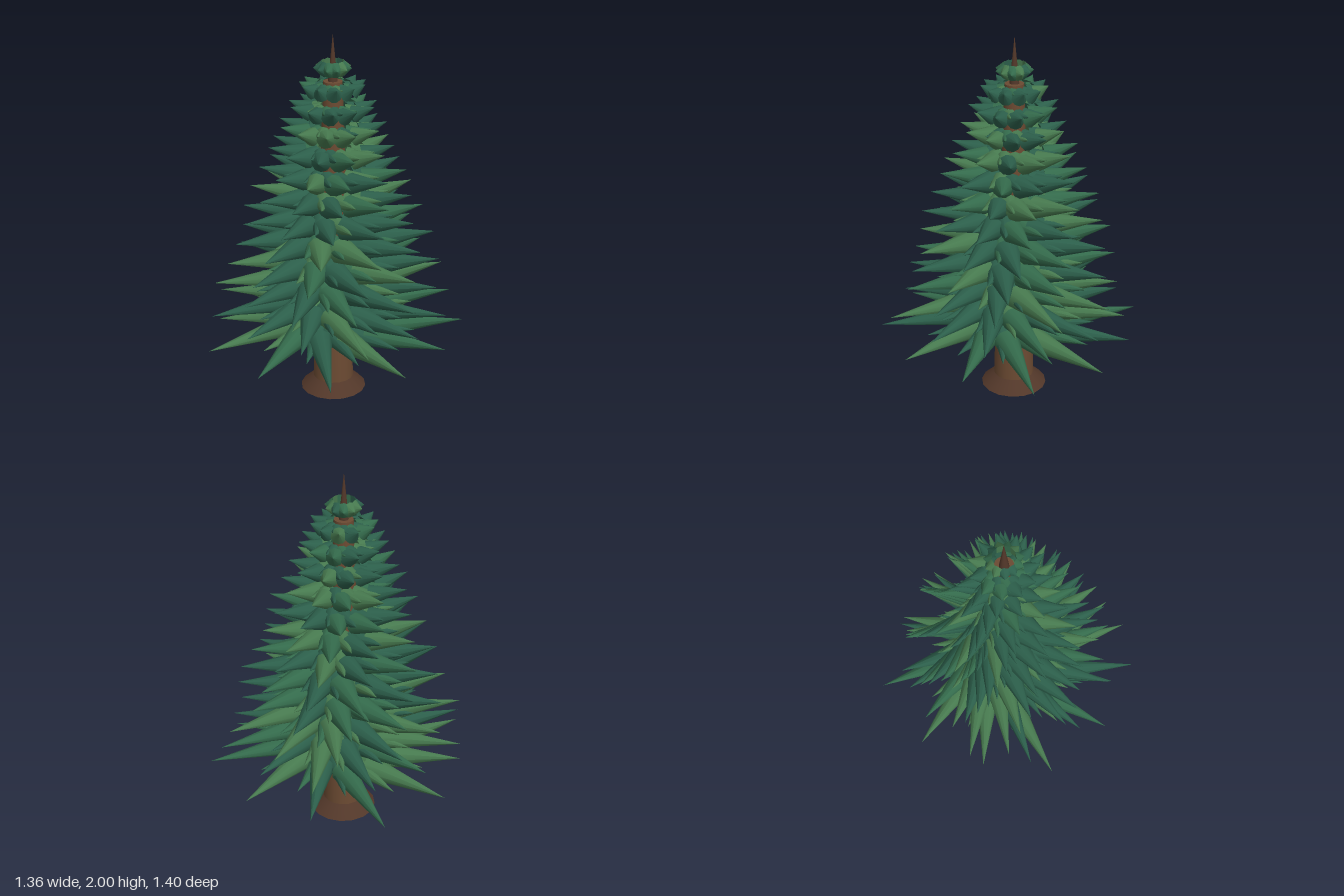
import * as THREE from 'three';

const AXIS = -0.033; // the trunk stands slightly off centre in x and z

// tip radius, tip height, base radius position, base height, cone radius
const TIERS = [
  [0.70, 0.358, 0.22, 0.388, 0.068],
  [0.65, 0.505, 0.21, 0.52, 0.067],
  [0.60, 0.645, 0.20, 0.648, 0.069],
  [0.57, 0.785, 0.20, 0.768, 0.072],
  [0.535, 0.92, 0.19, 0.90, 0.072],
  [0.485, 1.055, 0.185, 1.017, 0.063],
  [0.445, 1.185, 0.175, 1.135, 0.06],
  [0.39, 1.305, 0.165, 1.253, 0.057],
  [0.335, 1.425, 0.155, 1.375, 0.053],
  [0.285, 1.54, 0.14, 1.493, 0.049],
  [0.235, 1.65, 0.125, 1.605, 0.046],
  [0.178, 1.757, 0.11, 1.718, 0.042],
  [0.1, 1.832, 0.058, 1.83, 0.04],
];
// reach of each bough in the three lowest tiers
const LOW_REACHES = [
  [0.73, 0.69, 0.65, 0.72, 0.69, 0.645, 0.72, 0.70, 0.735, 0.69, 0.66],
  [0.68, 0.62, 0.62, 0.60, 0.60, 0.65, 0.67, 0.62, 0.63, 0.69, 0.62, 0.63],
  [0.65, 0.61, 0.56, 0.59, 0.57, 0.645, 0.58, 0.62, 0.59, 0.60, 0.57],
];

function seeded(seed) {
  return () => {
    seed = (seed * 16807) % 2147483647;
    return seed / 2147483647;
  };
}

function createTrunk(bark, darkBark) {
  const trunk = new THREE.Group();
  trunk.name = 'trunk';
  const add = (name, top, bottom, y0, y1, material) => {
    const mesh = new THREE.Mesh(new THREE.CylinderGeometry(top, bottom, y1 - y0, 16), material);
    mesh.name = name;
    mesh.position.y = (y0 + y1) / 2;
    trunk.add(mesh);
  };
  add('rootFlare', 0.11, 0.18, 0, 0.065, darkBark);
  add('lowerTrunk', 0.1, 0.111, 0.06, 0.4, bark);
  add('upperTrunk', 0.05, 0.1, 0.4, 1.76, bark);
  add('topSpike', 0.001, 0.027, 1.74, 2.0, darkBark);
  return trunk;
}

export function createModel() {
  const random = seeded(4711);
  const model = new THREE.Group();
  model.name = 'coniferTree';
  const paint = (color) => new THREE.MeshStandardMaterial({ color });
  const bark = paint(0x6b4a32);
  const darkBark = paint(0x523729);
  const greens = [0x2c5f4b, 0x2c5f4b, 0x346b4c, 0x477a4f].map(paint);

  const tree = new THREE.Group();
  tree.name = 'tree';
  tree.position.set(AXIS, 0, AXIS);
  tree.add(createTrunk(bark, darkBark));

  const up = new THREE.Vector3(0, 1, 0);
  const polar = (r, a, y) => new THREE.Vector3(r * Math.cos(a), y, -r * Math.sin(a));
  const needleCone = new THREE.ConeGeometry(1, 1, 10);

  // one pointed bough whose direction is swept sideways from the radial line
  const bough = (name, angle, sweep, reach, tipY, baseR, baseY, radius) => {
    const tip = polar(reach, angle, tipY);
    const base = tip.clone().sub(polar(reach - baseR, angle + sweep, 0));
    base.y = baseY;
    const axis = tip.clone().sub(base);
    const mesh = new THREE.Mesh(needleCone, greens[Math.floor(random() * greens.length)]);
    mesh.name = name;
    mesh.position.copy(base).add(tip).multiplyScalar(0.5);
    mesh.scale.set(radius, axis.length(), radius);
    mesh.quaternion.setFromUnitVectors(up, axis.normalize());
    return mesh;
  };

  // each tier has long boughs, with shorter ones between them close to the trunk
  TIERS.forEach(([tipR, tipY, baseR, baseY, radius], t) => {
    const tier = new THREE.Group();
    tier.name = `boughTier${t + 1}`;
    const isTop = t === TIERS.length - 1;
    const sweep = isTop ? 0 : THREE.MathUtils.degToRad(8);
    const reaches = LOW_REACHES[t]
      ?? Array.from({ length: 11 }, () => baseR + (tipR - baseR) * (0.92 + 0.12 * random()));
    const step = (Math.PI * 2) / reaches.length;
    reaches.forEach((reach, i) => {
      const angle = THREE.MathUtils.degToRad(14 + 6.6 * t + 2 * (random() - 0.5)) + i * step;
      tier.add(bough('bough', angle, sweep, reach, tipY, baseR, baseY, radius));
      if (isTop) return;
      const innerR = baseR * 0.6;
      const innerReach = innerR + (reach - innerR) * 0.6;
      const innerY = baseY + (tipY - baseY) * 0.6;
      tier.add(bough('innerBough', angle + step / 2, sweep, innerReach, innerY, innerR, baseY, radius * 0.88));
    });
    tree.add(tier);
  });

  model.add(tree);
  return model;
}
